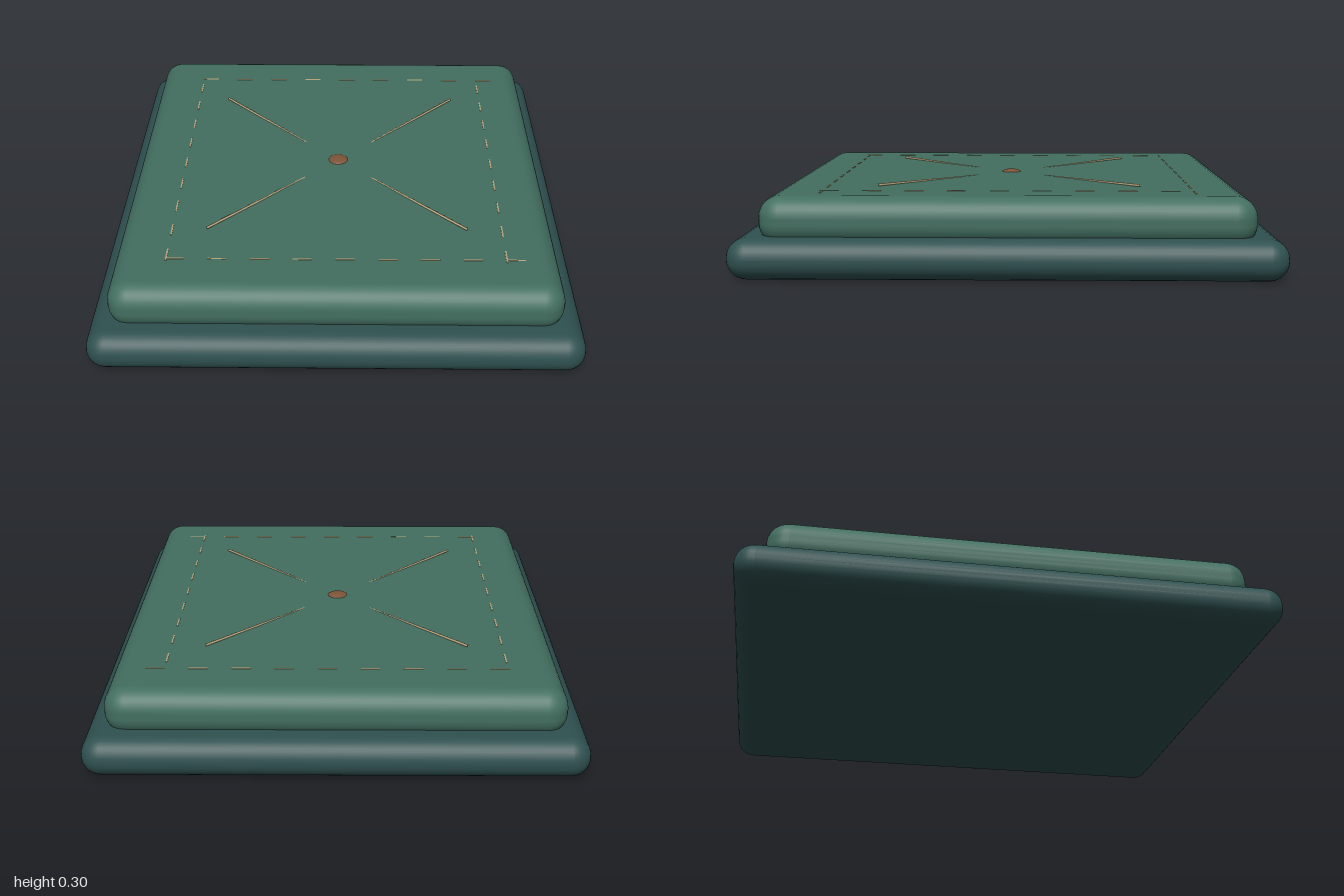
import * as THREE from 'three';
import { RoundedBoxGeometry } from 'three/addons/geometries/RoundedBoxGeometry.js';

const material = (color) => new THREE.MeshStandardMaterial({ color });

export function createModel() {
  const model = new THREE.Group();
  model.name = 'cushion';
  const baseMat = material(0x2f5050);
  const padMat = material(0x426e60);
  const threadMat = material(0xb8a67c);
  const buttonMat = material(0x7d5538);

  function add(name, geometry, mat, x, y, z, parent = model) {
    const mesh = new THREE.Mesh(geometry, mat);
    mesh.name = name;
    mesh.position.set(x, y, z);
    parent.add(mesh);
    return mesh;
  }

  // Wide rounded base and the smaller padded top sunk into it
  add('base', new RoundedBoxGeometry(1.81, 0.15, 2, 4, 0.073), baseMat, 0, 0.075, 0);
  add('pad', new RoundedBoxGeometry(1.664, 0.18, 1.796, 4, 0.08), padMat, 0, 0.202, 0);

  // Dashed stitching running round the top
  const stitching = new THREE.Group();
  stitching.name = 'stitching';
  model.add(stitching);
  const alongX = new THREE.BoxGeometry(0.07, 0.006, 0.006);
  const alongZ = new THREE.BoxGeometry(0.006, 0.006, 0.07);
  for (let i = 0; i < 9; i++) {
    const offset = -0.6 + i * 0.158;
    for (const side of [-1, 1]) {
      add('stitch', alongX, threadMat, offset, 0.291, side * 0.686, stitching);
      add('stitch', alongZ, threadMat, side * 0.63, 0.291, offset, stitching);
    }
  }

  // Four diagonal creases, rising slightly towards the corners
  for (const sx of [-1, 1]) {
    for (const sz of [-1, 1]) {
      const path = new THREE.LineCurve3(
        new THREE.Vector3(sx * 0.135, 0.288, sz * 0.135),
        new THREE.Vector3(sx * 0.5, 0.296, sz * 0.5)
      );
      add('crease', new THREE.TubeGeometry(path, 1, 0.005, 8), threadMat, 0, 0, 0);
    }
  }

  // Flattened centre button
  const button = add('button', new THREE.SphereGeometry(0.042, 24, 16), buttonMat, 0, 0.287, 0);
  button.scale.y = 0.36;

  return model;
}
